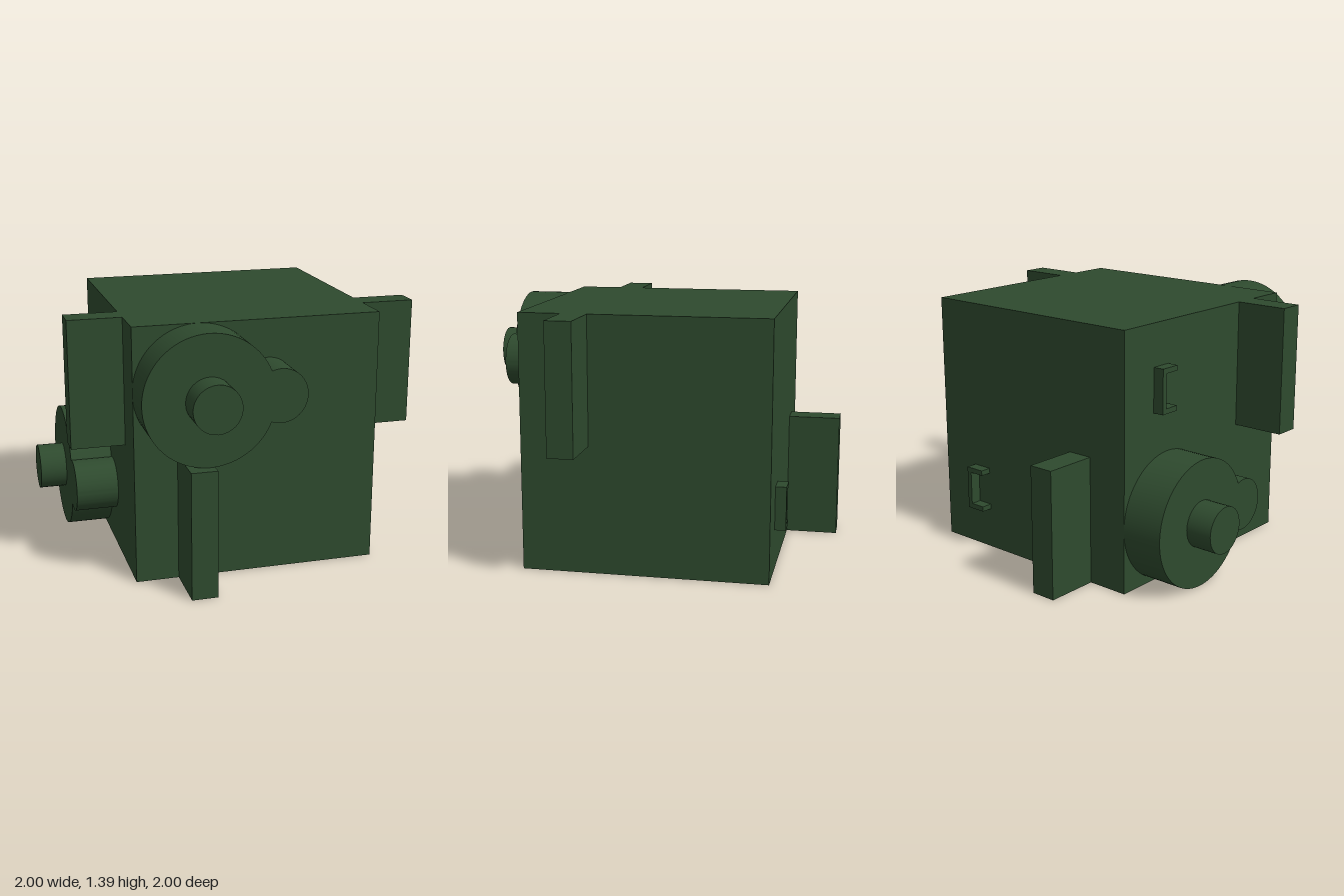
import * as THREE from 'three';
import { toCreasedNormals } from 'three/addons/utils/BufferGeometryUtils.js';

const material = new THREE.MeshStandardMaterial({ color: 0x2e4a2e });

const HEIGHT = 0.695;             // thickness of one servo
const HALF = 0.665;               // half of the square body
const BACK = -0.71, FRONT = 0.62; // body limits along the shaft axis

function add(group, name, geometry) {
  const mesh = new THREE.Mesh(geometry, material);
  mesh.name = name;
  group.add(mesh);
  return mesh;
}

// Box given by its limits on each axis
function addBox(group, name, [x0, x1], [y0, y1], [z0, z1]) {
  const mesh = add(group, name, new THREE.BoxGeometry(x1 - x0, y1 - y0, z1 - z0));
  mesh.position.set((x0 + x1) / 2, (y0 + y1) / 2, (z0 + z1) / 2);
}

// Outline of a large disc merged with a small one beside it
function gearHousing(bigX, bigR, smallX, smallR, depth) {
  const d = smallX - bigX;
  const a = (d * d + bigR * bigR - smallR * smallR) / (2 * d);
  const h = Math.sqrt(bigR * bigR - a * a);
  const bigAngle = Math.atan2(h, a);
  const smallAngle = Math.atan2(h, a - d);
  const shape = new THREE.Shape();
  shape.absarc(bigX, 0, bigR, bigAngle, 2 * Math.PI - bigAngle, false);
  shape.absarc(smallX, 0, smallR, -smallAngle, smallAngle, false);
  const geometry = new THREE.ExtrudeGeometry(shape, { depth, bevelEnabled: false, curveSegments: 32 });
  return toCreasedNormals(geometry, 0.5);
}

// One servo lying on its side, shaft towards +z, centred on y
function createServo(name) {
  const servo = new THREE.Group();
  servo.name = name;
  const y = [-HEIGHT / 2, HEIGHT / 2];

  addBox(servo, 'body', [-HALF, HALF], y, [BACK, FRONT]);

  // Mounting tabs on both ends
  addBox(servo, 'rightTab', [-0.955, -HALF], y, [0.25, 0.39]);
  addBox(servo, 'leftTab', [HALF, 0.955], y, [0.25, 0.39]);

  // Gear housing and output shaft
  const shaftX = -0.32;
  add(servo, 'gearHousing', gearHousing(shaftX, HEIGHT / 2, 0.052, 0.143, 0.232)).position.z = FRONT;
  const shaft = add(servo, 'outputShaft', new THREE.CylinderGeometry(0.127, 0.127, 0.148, 32));
  shaft.rotation.x = Math.PI / 2;
  shaft.position.set(shaftX, 0, FRONT + 0.232 + 0.074);

  // C-shaped cable guide on the end wall, open towards the shaft side
  const wall = 0.028, top = 0.12, x = [-HALF - 0.06, -HALF];
  addBox(servo, 'cableGuideBase', x, [-top, top], [-0.48, -0.48 + wall]);
  for (const s of [-1, 1]) {
    const mid = s * (top - wall / 2);
    addBox(servo, 'cableGuideArm', x, [mid - wall / 2, mid + wall / 2], [-0.48 + wall, -0.365]);
  }
  return servo;
}

export function createModel() {
  const model = new THREE.Group();
  model.name = 'servoPair';

  // Upper servo faces the front
  const upper = createServo('upperServo');
  upper.position.set(0.045, HEIGHT * 1.5, 0);

  // Lower servo is turned a quarter so that its shaft points to -x
  const lower = createServo('lowerServo');
  lower.rotation.y = -Math.PI / 2;
  lower.position.set(0, HEIGHT * 0.5, -0.045);

  model.add(upper, lower);
  return model;
}
